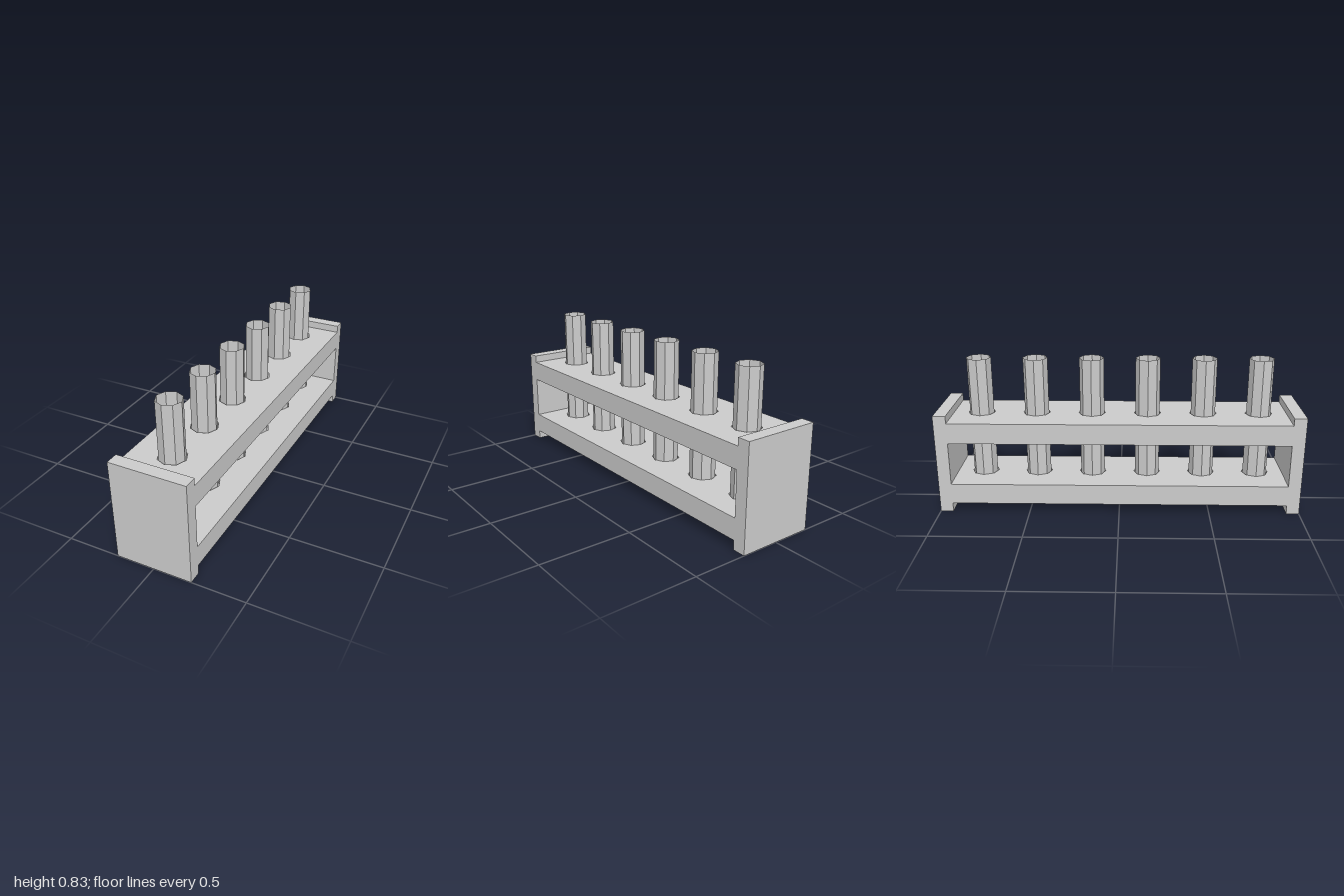
import * as THREE from 'three';

const HALF_WIDTH = 0.21;
const TUBE_Z = [-0.775, -0.465, -0.155, 0.155, 0.465, 0.775];

export function createModel() {
  const group = new THREE.Group();
  const rackMaterial = new THREE.MeshStandardMaterial({ color: 0xcccccc, flatShading: true });
  const tubeMaterial = new THREE.MeshStandardMaterial({
    color: 0xcccccc, flatShading: true, side: THREE.DoubleSide,
  });

  const add = (name, geometry, material, x, y, z) => {
    const mesh = new THREE.Mesh(geometry, material);
    mesh.name = name;
    mesh.position.set(x, y, z);
    group.add(mesh);
  };

  // End plates
  const plate = new THREE.BoxGeometry(HALF_WIDTH * 2, 0.562, 0.07);
  add('frontEndPlate', plate, rackMaterial, 0, 0.281, 0.965);
  add('backEndPlate', plate, rackMaterial, 0, 0.281, -0.965);

  // Shelves with a row of octagonal holes
  const outline = new THREE.Shape([
    new THREE.Vector2(-HALF_WIDTH, -0.93),
    new THREE.Vector2(HALF_WIDTH, -0.93),
    new THREE.Vector2(HALF_WIDTH, 0.93),
    new THREE.Vector2(-HALF_WIDTH, 0.93),
  ]);
  for (const z of TUBE_Z) {
    const corners = [];
    for (let i = 0; i < 8; i++) {
      const a = -i * Math.PI / 4;
      corners.push(new THREE.Vector2(0.075 * Math.cos(a), z + 0.075 * Math.sin(a)));
    }
    outline.holes.push(new THREE.Path(corners));
  }
  const shelf = new THREE.ExtrudeGeometry(outline, { depth: 0.115, bevelEnabled: false });
  shelf.rotateX(-Math.PI / 2);
  add('lowerShelf', shelf, rackMaterial, 0, 0.05, 0);
  add('upperShelf', shelf, rackMaterial, 0, 0.405, 0);

  // Open thin-walled tubes with pointed bottoms
  const tube = new THREE.LatheGeometry([
    new THREE.Vector2(0, 0.03),
    new THREE.Vector2(0.068, 0.1),
    new THREE.Vector2(0.068, 0.835),
  ], 8);
  TUBE_Z.forEach((z, i) => add(`testTube${i + 1}`, tube, tubeMaterial, 0, 0, z));

  return group;
}
